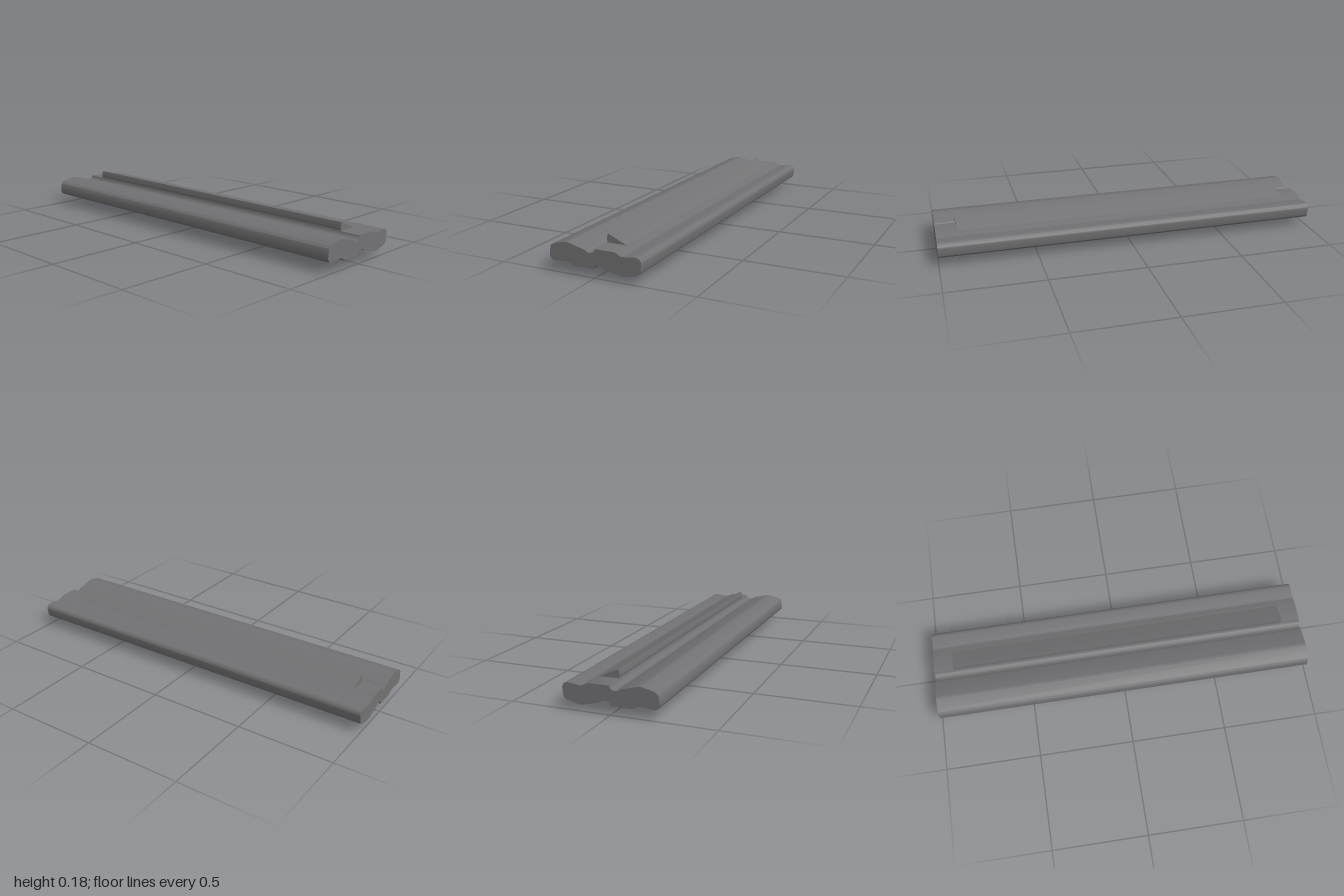
import * as THREE from 'three';
import { toCreasedNormals } from 'three/addons/utils/BufferGeometryUtils.js';

const MID_Y = 0.089; // the section repeats when turned half a turn about (0, MID_Y)
const CORE_LENGTH = 2;
const RIB_LENGTH = 1.79;

// Upper half of the core section, from the left edge to the right edge
function traceHalf(path) {
  path.lineTo(-0.231, 0.116);
  path.quadraticCurveTo(-0.229, 0.124, -0.21, 0.134);
  path.lineTo(-0.155, 0.147);
  path.quadraticCurveTo(-0.143, 0.15, -0.131, 0.146);
  path.lineTo(-0.05, 0.125);
  path.lineTo(-0.043, 0.121);
  path.quadraticCurveTo(-0.036, 0.114, -0.025, 0.114);
  path.quadraticCurveTo(-0.001, 0.115, 0.003, 0.136);
  path.lineTo(0.104, 0.136);
  path.lineTo(0.131, 0.123);
  path.quadraticCurveTo(0.139, 0.119, 0.15, 0.121);
  path.lineTo(0.207, 0.127);
  path.bezierCurveTo(0.222, 0.128, 0.237, 0.117, 0.236, 0.099);
}

function extrude(shape, length) {
  const geometry = new THREE.ExtrudeGeometry(shape, { depth: length, bevelEnabled: false, curveSegments: 8 });
  geometry.translate(0, 0, -length / 2);
  return toCreasedNormals(geometry, 0.5);
}

export function createModel() {
  const group = new THREE.Group();
  group.name = 'extrudedBar';
  const darkGrey = new THREE.MeshStandardMaterial({ color: 0x727274 });
  darkGrey.name = 'dark grey';

  // Core: the half outline plus the same outline turned half a turn
  const half = new THREE.Path();
  half.moveTo(-0.236, 2 * MID_Y - 0.099);
  traceHalf(half);
  const points = half.getPoints(8);
  const turned = points.slice(1, -1).map((p) => new THREE.Vector2(-p.x, 2 * MID_Y - p.y));
  const outline = [...points, new THREE.Vector2(0.231, 2 * MID_Y - 0.116), ...turned.slice(1)];
  const core = new THREE.Mesh(extrude(new THREE.Shape(outline), CORE_LENGTH), darkGrey);
  core.name = 'core';
  group.add(core);

  // Hooked ribs, shorter than the core, one above and one below
  const rib = new THREE.Shape();
  rib.moveTo(0.003, 0.136);
  rib.quadraticCurveTo(0.005, 0.141, 0.003, 0.147);
  rib.quadraticCurveTo(0.001, 0.152, 0.003, 0.158);
  rib.lineTo(0.008, 0.178);
  rib.lineTo(0.022, 0.173);
  rib.lineTo(0.104, 0.136);
  const ribGeometry = extrude(rib, RIB_LENGTH);

  ['upperRib', 'lowerRib'].forEach((name, i) => {
    const mesh = new THREE.Mesh(ribGeometry, darkGrey);
    mesh.name = name;
    mesh.rotation.z = i * Math.PI;
    mesh.position.y = i * 2 * MID_Y;
    group.add(mesh);
  });

  return group;
}
